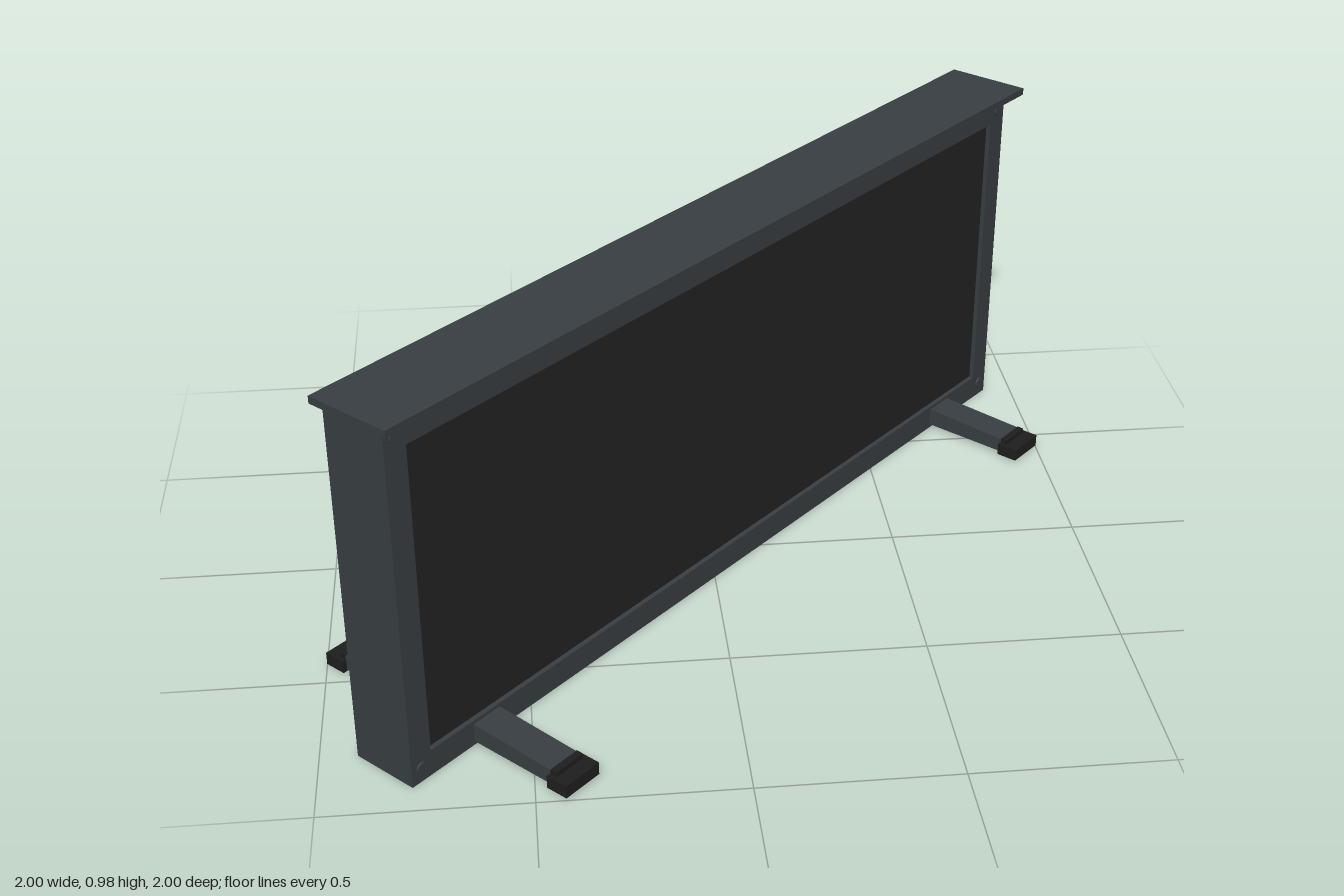
import * as THREE from 'three';

export function createModel() {
  const material = (name, color) => {
    const m = new THREE.MeshStandardMaterial({ color });
    m.name = name;
    return m;
  };
  const steel = material('anthracite steel', 0x383e42);
  const black = material('screen black', 0x222222);
  const rubber = material('rubber black', 0x1e1e1e);

  // The panel lies along local x and faces local z, turned 45 degrees.
  const model = new THREE.Group();
  model.name = 'displayPanel';
  model.rotation.y = Math.PI / 4;

  const add = (name, geometry, mat) => {
    const mesh = new THREE.Mesh(geometry, mat);
    mesh.name = name;
    model.add(mesh);
    return mesh;
  };
  // Box given by its lower and upper limits on each axis
  const box = (name, mat, [x0, x1], [y0, y1], [z0, z1]) => {
    const mesh = add(name, new THREE.BoxGeometry(x1 - x0, y1 - y0, z1 - z0), mat);
    mesh.position.set((x0 + x1) / 2, (y0 + y1) / 2, (z0 + z1) / 2);
    return mesh;
  };
  const rect = (Type, hw, y0, y1) => new Type([
    [-hw, y0], [hw, y0], [hw, y1], [-hw, y1],
  ].map(([x, y]) => new THREE.Vector2(x, y)));

  const halfWidth = 1.202, top = 0.963, front = 0.099, back = -0.085, recess = 0.084;

  // Cabinet, overhanging roof and recessed screen
  box('cabinet', steel, [-halfWidth, halfWidth], [0, top], [back, recess]);
  box('roof', steel, [-1.232, 1.232], [top, 0.982], [-0.092, 0.142]);
  box('screen', black, [-1.138, 1.138], [0.07, 0.89], [recess - 0.004, recess + 0.002]);

  // Front frame around the screen
  const frame = rect(THREE.Shape, halfWidth, 0, top);
  frame.holes.push(rect(THREE.Path, 1.138, 0.07, 0.89));
  add('frontFrame', new THREE.ExtrudeGeometry(frame, { depth: front - recess, bevelEnabled: false }), steel)
    .position.z = recess;

  // Screws in the frame corners
  const screw = new THREE.CylinderGeometry(0.017, 0.017, 0.008, 16).rotateX(Math.PI / 2);
  for (const x of [-1.17, 1.17]) {
    for (const y of [0.04, 0.925]) add('screw', screw, steel).position.set(x, y, front + 0.002);
  }

  // Ventilation slots on the back
  for (let i = 0; i < 4; i++) {
    const y = 0.3 + i * 0.1;
    box('ventSlot', black, [-0.4, 0.4], [y - 0.016, y + 0.016], [back - 0.003, back + 0.003]);
  }

  // Feet: bars with sloping tops and a rubber cap on each end
  const profile = new THREE.Shape([
    [-0.36, 0.01], [0.36, 0.01], [0.36, 0.05], [front, 0.06], [back, 0.06], [-0.36, 0.05],
  ].map(([z, y]) => new THREE.Vector2(z, y)));
  const bar = new THREE.ExtrudeGeometry(profile, { depth: 0.088, bevelEnabled: false })
    .translate(0, 0, -0.044).rotateY(-Math.PI / 2);
  for (const x of [-0.955, 0.955]) {
    add('footBar', bar, steel).position.x = x;
    for (const s of [-1, 1]) {
      const cap = box('footCap', rubber, [x - 0.056, x + 0.056], [0.006, 0.04], [0.343, 0.403]);
      cap.position.z *= s;
      // Upper lip closing the end of the bar
      const lip = box('footCapLip', rubber, [x - 0.045, x + 0.045], [0.03, 0.053], [0.345, 0.364]);
      lip.position.z *= s;
    }
  }

  const group = new THREE.Group();
  group.add(model);
  return group;
}
